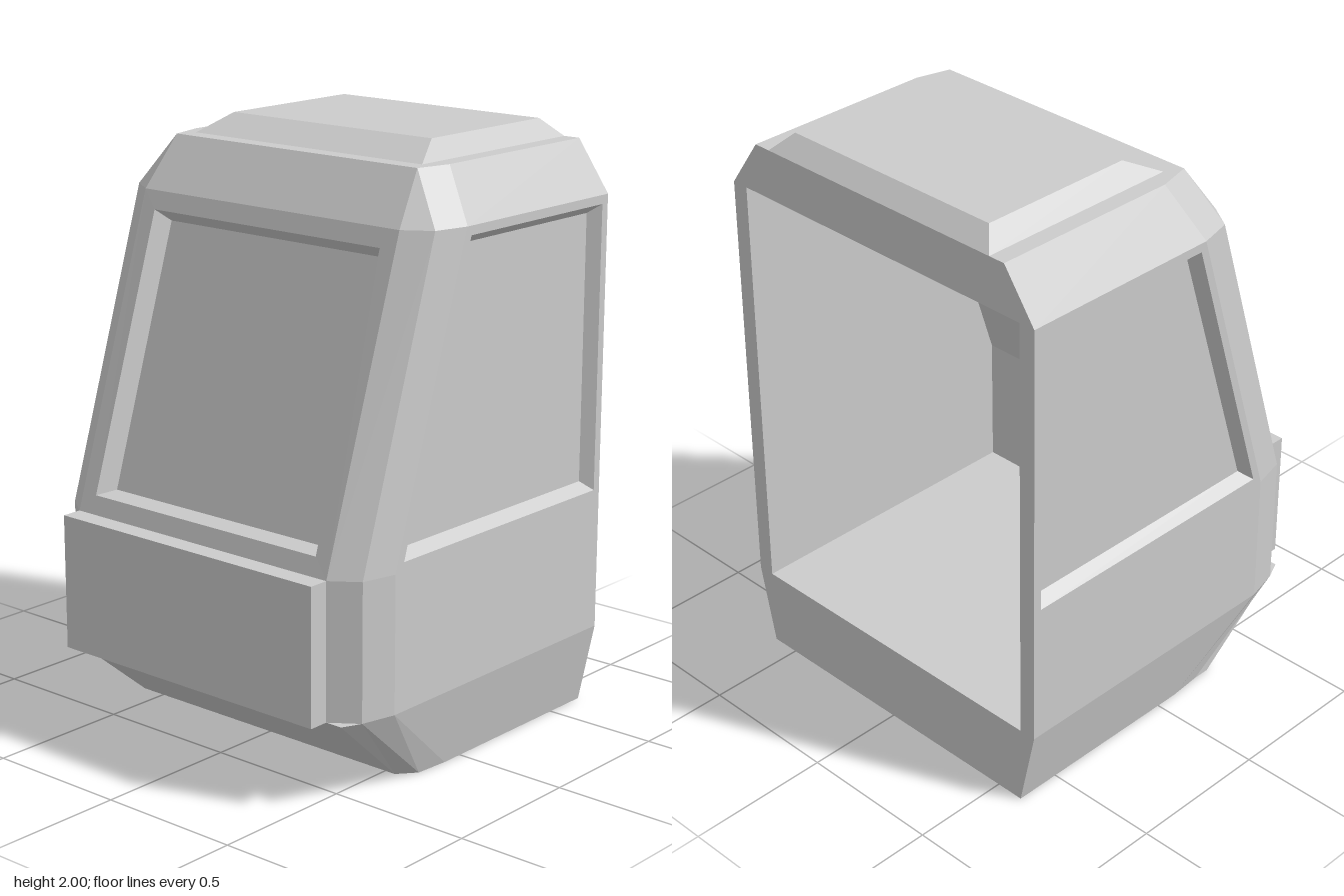
import * as THREE from 'three';

const BACK = -0.66;
const material = new THREE.MeshStandardMaterial({ color: 0xcccccc, flatShading: true, side: THREE.DoubleSide });

// Flat-faced mesh from convex polygons, each an anticlockwise list of [x, y, z]
function polyMesh(name, polygons) {
  const pos = [];
  for (const p of polygons)
    for (let i = 1; i < p.length - 1; i++) pos.push(...p[0], ...p[i], ...p[i + 1]);
  const g = new THREE.BufferGeometry();
  g.setAttribute('position', new THREE.Float32BufferAttribute(pos, 3));
  g.computeVertexNormals();
  const mesh = new THREE.Mesh(g, material);
  mesh.name = name;
  return mesh;
}

// Quads joining two closed loops of equal length
const bridge = (a, b) => a.map((p, i) => {
  const j = (i + 1) % a.length;
  return [p, a[j], b[j], b[i]];
});

const mirrorX = (loop) => loop.map(([x, y, z]) => [-x, y, z]).reverse();

// Open-backed horizontal outline: side, corner and front points for each half.
// frontR / frontL are the x of the front corners on +x and -x.
function ring(y, xBack, side, corner, zFront, frontR, frontL = frontR) {
  return [
    [xBack, y, BACK], [side[0], y, side[1]], [corner[0], y, corner[1]], [frontR, y, zFront],
    [-frontL, y, zFront], [-corner[0], y, corner[1]], [-side[0], y, side[1]], [-xBack, y, BACK],
  ];
}

export function createModel() {
  const group = new THREE.Group();
  group.name = 'cabin';

  const rings = [
    ring(0, 0.6, [0.6, 0.08], [0.59, 0.2], 0.26, 0.54, 0.59),
    ring(0.28, 0.66, [0.66, 0.41], [0.63, 0.53], 0.595, 0.6),
    ring(0.28, 0.66, [0.66, 0.41], [0.63, 0.53], 0.595, 0.54),
    ring(0.74, 0.66, [0.66, 0.41], [0.63, 0.53], 0.595, 0.54),
    ring(1.77, 0.66, [0.66, 0.08], [0.63, 0.2], 0.26, 0.54),
    ring(1.94, 0.54, [0.54, 0.02], [0.51, 0.14], 0.14, 0.42, 0.51),
  ];

  // Window openings and their sunken panes
  const frontOpening = [[-0.48, 0.8, 0.575], [0.48, 0.8, 0.575], [0.48, 1.71, 0.28], [-0.48, 1.71, 0.28]];
  const frontPane = [[-0.45, 0.81, 0.508], [0.45, 0.81, 0.508], [0.45, 1.67, 0.232], [-0.45, 1.67, 0.232]];
  const sideOpening = [[0.66, 0.77, 0.37], [0.66, 0.77, -0.63], [0.66, 1.74, -0.63], [0.66, 1.74, 0.06]];
  const sidePane = [[0.62, 0.8, 0.335], [0.62, 0.8, -0.6], [0.62, 1.71, -0.6], [0.62, 1.71, 0.04]];
  // Mirrored loops are rotated so that they still start at a lower corner
  const flip = (loop) => { const m = mirrorX(loop); return [m[2], m[3], m[0], m[1]]; };
  const windows = {
    0: ['leftWindow', sideOpening, sidePane],
    3: ['frontWindow', frontOpening, frontPane],
    6: ['rightWindow', flip(sideOpening), flip(sidePane)],
  };

  // Outer shell, with window frames cut into the sloping band
  const shell = [[...rings[0]], [...rings[5]].reverse()];
  for (let r = 0; r < rings.length - 1; r++) {
    const lo = rings[r], up = rings[r + 1];
    for (let i = 0; i < 7; i++) {
      const quad = [lo[i + 1], lo[i], up[i], up[i + 1]];
      if (r === 3 && windows[i]) {
        const [name, opening, pane] = windows[i];
        shell.push(...bridge(quad, opening));
        group.add(polyMesh(name, [...bridge(opening, pane), pane]));
      } else shell.push(quad);
    }
  }
  group.add(polyMesh('shell', shell));

  // Rim around the open back
  const rim = new THREE.Shape([[-0.6, 0], [0.6, 0], [0.66, 0.28], [0.66, 1.77], [0.54, 1.94],
    [-0.54, 1.94], [-0.66, 1.77], [-0.66, 0.28]].map((p) => new THREE.Vector2(...p)));
  rim.holes.push(new THREE.Path([[-0.6, 0.28], [-0.6, 1.77], [0.6, 1.77], [0.6, 0.28]]
    .map((p) => new THREE.Vector2(...p))));
  const rimMesh = new THREE.Mesh(new THREE.ShapeGeometry(rim), material);
  rimMesh.name = 'backRim';
  rimMesh.rotation.y = Math.PI;
  rimMesh.position.z = BACK;
  group.add(rimMesh);

  // Hollow interior, its side profile swept across x and facing inwards
  const profile = [[0.28, BACK], [0.28, 0.41], [0.74, 0.41], [1.77, 0.08], [1.77, BACK]];
  const wall = profile.map(([y, z]) => [0.6, y, z]);
  const far = profile.map(([y, z]) => [-0.6, y, z]);
  const interior = bridge(far, wall).slice(0, 4); // the back stays open
  interior.push([...wall], [...far].reverse());
  group.add(polyMesh('interior', interior.map((p) => p.reverse()).map((p, i) => (i < 4 ? p.reverse() : p.reverse()))));

  // Raised roof panel with bevelled edges
  const rect = (x, y, z0, z1) => [[-x, y, z1], [x, y, z1], [x, y, z0], [-x, y, z0]];
  const roofBase = rect(0.48, 1.94, BACK, 0.08), roofTop = rect(0.42, 2, -0.6, -0.04);
  group.add(polyMesh('roofPanel', [...bridge(roofBase, roofTop), roofTop]));

  // Front bumper block
  const bumper = new THREE.Mesh(new THREE.BoxGeometry(1.08, 0.46, 0.09), material);
  bumper.name = 'bumper';
  bumper.position.set(0, 0.51, 0.62);
  group.add(bumper);

  return group;
}
